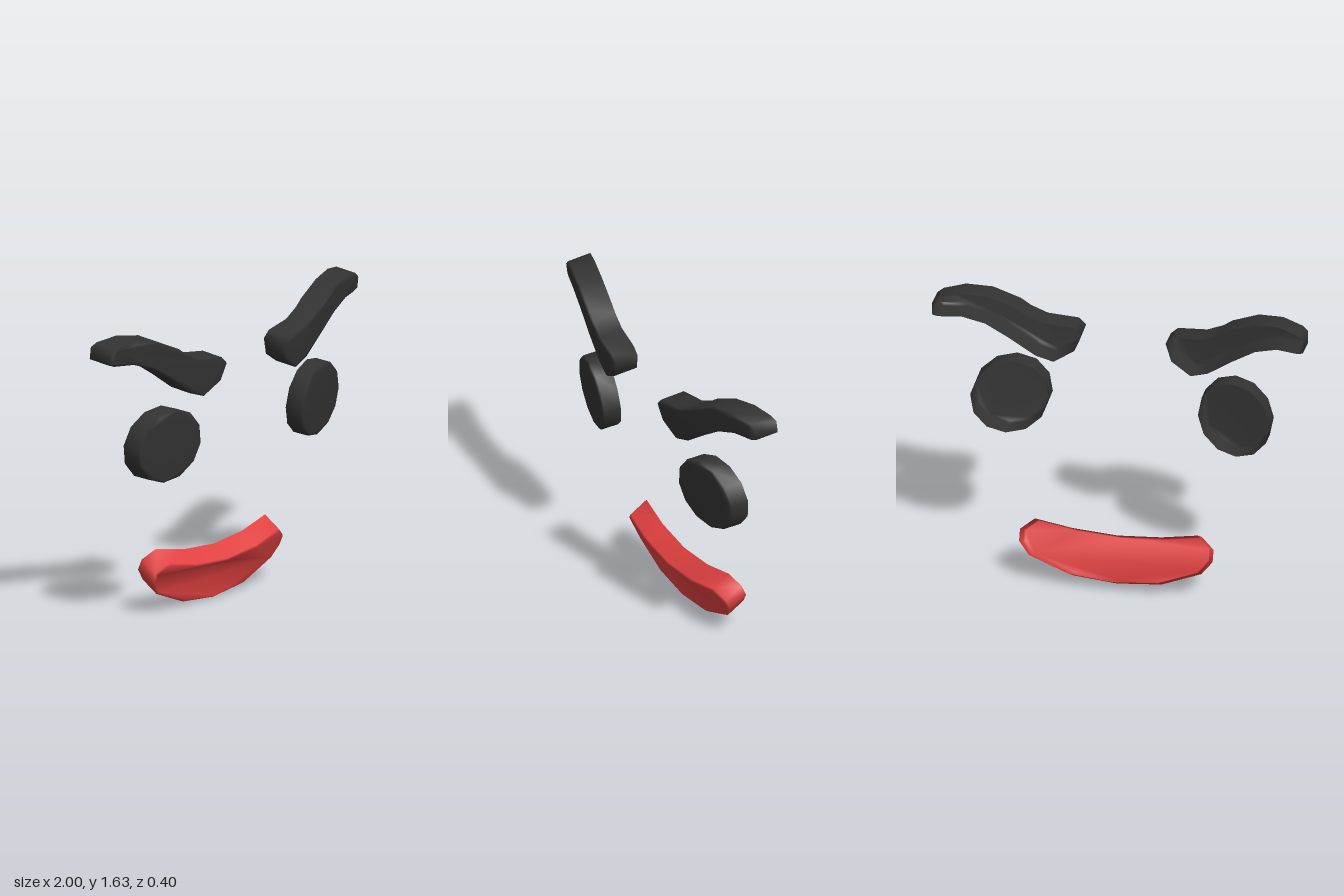
import * as THREE from 'three';

const black = new THREE.MeshStandardMaterial({ color: 0x333333, side: THREE.DoubleSide });
black.name = 'charcoal';
const red = new THREE.MeshStandardMaterial({ color: 0xe04040, side: THREE.DoubleSide });
red.name = 'lip red';

// Move each point of a counter-clockwise outline inwards by d
function inset(loop, d) {
  const n = loop.length;
  return loop.map(([x, y], i) => {
    const a = loop[(i + n - 1) % n], b = loop[(i + 1) % n];
    const tx = b[0] - a[0], ty = b[1] - a[1], l = Math.hypot(tx, ty);
    return [x - (ty / l) * d, y + (tx / l) * d];
  });
}

// Hollow shell: closed front with a soft edge, walls running back, open at the rear.
// loop = front outline (counter-clockwise), frontZ(x, y) = front surface, back = wall vector
function shell(name, material, loop, frontZ, back, bevel = 0.012) {
  const n = loop.length;
  const cap = inset(loop, bevel);
  const pos = [], idx = [];
  loop.forEach(([x, y]) => pos.push(x + back[0], y + back[1], frontZ(x, y) + back[2]));
  loop.forEach(([x, y]) => pos.push(x, y, frontZ(x, y) - bevel));
  cap.forEach(([x, y]) => pos.push(x, y, frontZ(x, y)));
  for (let r = 0; r < 2; r++) {
    for (let i = 0; i < n; i++) {
      const j = (i + 1) % n, a = r * n + i, b = r * n + j;
      idx.push(a, b, b + n, a, b + n, a + n);
    }
  }
  const tris = THREE.ShapeUtils.triangulateShape(cap.map(([x, y]) => new THREE.Vector2(x, y)), []);
  tris.forEach((t) => idx.push(...t.map((k) => k + 2 * n)));
  const geo = new THREE.BufferGeometry();
  geo.setAttribute('position', new THREE.Float32BufferAttribute(pos, 3));
  geo.setIndex(idx);
  geo.computeVertexNormals();
  const mesh = new THREE.Mesh(geo, material);
  mesh.name = name;
  return mesh;
}

// Mirror an outline across x = 0, keeping it counter-clockwise
const mirror = (loop) => loop.map(([x, y]) => [-x, y]).reverse();

export function createModel() {
  const group = new THREE.Group();
  group.name = 'face';

  // Eye outline: twelve-sided disc
  const eye = [];
  for (let i = 0; i < 12; i++) {
    const a = ((i + 0.15) / 12) * Math.PI * 2;
    eye.push([0.605 + 0.204 * Math.cos(a), 1.004 + 0.204 * Math.sin(a)]);
  }
  const eyeZ = (x, y) => 0.127 - 0.22 * (Math.abs(x) - 0.605) + 0.12 * (y - 1.004);

  // Brow outline, from the inner tip along the underside and back along the top
  const brow = [
    [0.228, 1.395], [0.262, 1.3], [0.37, 1.235], [0.465, 1.268], [0.6, 1.365], [0.727, 1.45],
    [0.85, 1.495], [0.968, 1.503], [1.0, 1.515], [1.0, 1.583], [0.968, 1.605], [0.856, 1.624],
    [0.717, 1.603], [0.57, 1.535], [0.52, 1.497], [0.43, 1.454], [0.267, 1.433],
  ];
  const browZ = (x, y) => {
    const d = Math.abs(x) - 0.23;
    return 0.196 - 0.06 * d - 0.155 * d * d + 0.12 * (y - 1.36 - 0.33 * d);
  };

  for (const [side, place] of [['left', (l) => l], ['right', mirror]]) {
    group.add(shell(side + 'Eye', black, place(eye), eyeZ, [0, 0.003, -0.112]));
    group.add(shell(side + 'Brow', black, place(brow), browZ, [0, 0.011, -0.145]));
  }

  // Smiling mouth, tipped so its front looks slightly down
  const half = [[0.24, 0.032], [0.455, 0.12], [0.512, 0.19], [0.512, 0.25], [0.44, 0.3], [0.24, 0.257]];
  const mouth = [[0, 0.008], ...half, [0, 0.237], ...mirror(half)];
  const mouthZ = (x, y) => 0.008 + 0.43 * (y - 0.237) - 0.24 * x * x;
  group.add(shell('mouth', red, mouth, mouthZ, [0, 0.062, -0.108]));

  return group;
}
